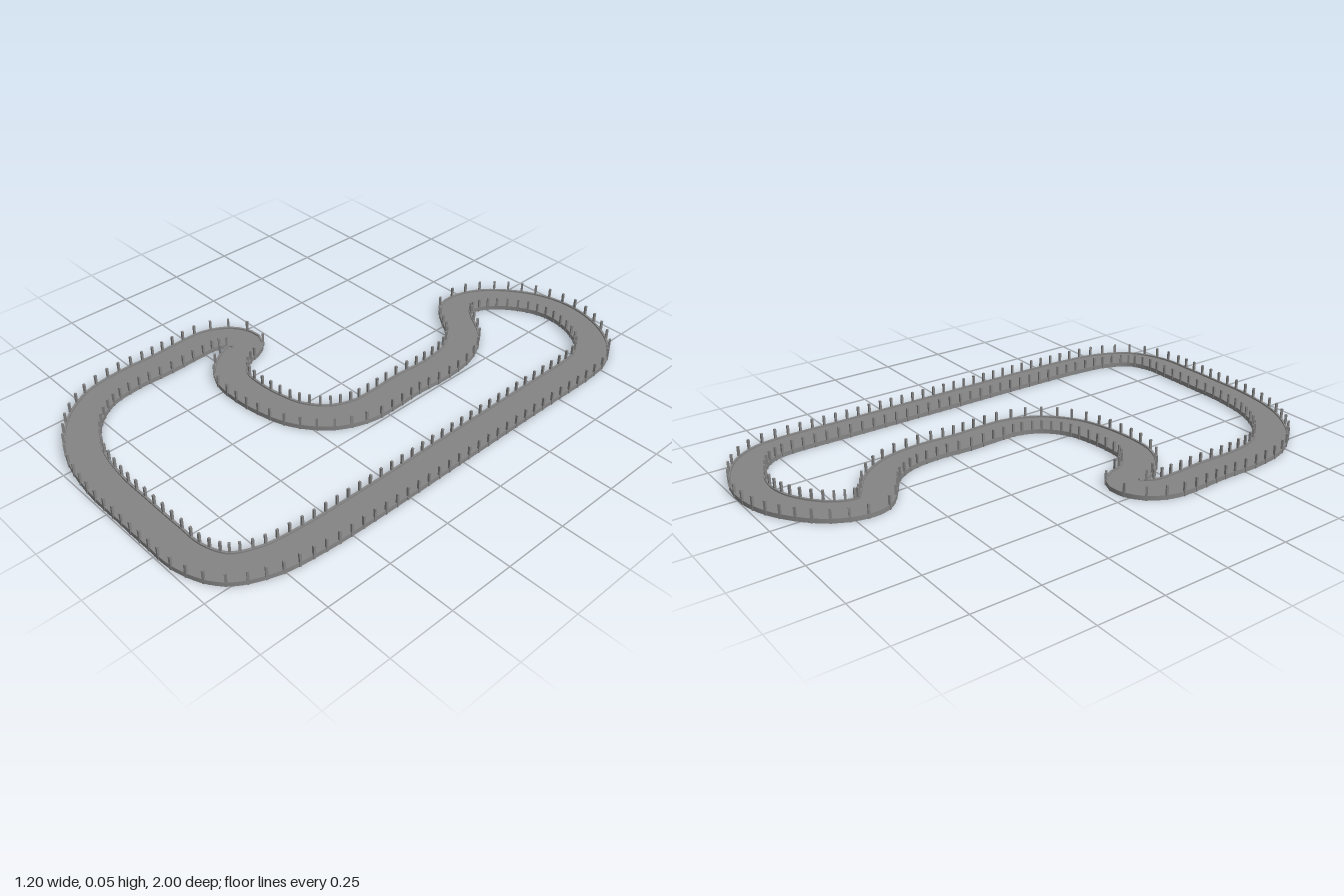
import * as THREE from 'three';
import { mergeGeometries, toCreasedNormals } from 'three/addons/utils/BufferGeometryUtils.js';

const HALF = 0.063;        // half width of the track
const KERB = 0.008;        // kerb thickness
const ROAD_TOP = 0.011, KERB_TOP = 0.017, POST_TOP = 0.053, POST_WIDTH = 0.008;
const SEGMENTS = 320, POSTS = 120;

// Centreline of the circuit as x, z pairs
const CENTRE = [
  [0.529, -0.7], [0.529, -0.4], [0.529, 0], [0.529, 0.4], [0.523, 0.6], [0.501, 0.76], [0.44, 0.875], [0.33, 0.926],
  [0.2, 0.931], [0.05, 0.931], [-0.12, 0.927], [-0.29, 0.892], [-0.43, 0.805], [-0.508, 0.69], [-0.53, 0.56],
  [-0.528, 0.4], [-0.533, 0.28], [-0.53, 0.19], [-0.492, 0.12], [-0.43, 0.094], [-0.397, 0.118],
  [-0.383, 0.17], [-0.335, 0.24], [-0.27, 0.277], [-0.19, 0.284], [-0.08, 0.274], [0.03, 0.242], [0.125, 0.165],
  [0.172, 0.06], [0.177, -0.04], [0.172, -0.16], [0.179, -0.31], [0.16, -0.44], [0.1, -0.54], [0.0, -0.612],
  [-0.045, -0.655], [-0.045, -0.72], [-0.01, -0.795], [0.065, -0.868], [0.16, -0.92], [0.26, -0.936],
  [0.37, -0.913], [0.47, -0.85], [0.518, -0.77],
];

const curve = new THREE.CatmullRomCurve3(CENTRE.map(([x, z]) => new THREE.Vector3(x, 0, z)), true);
curve.arcLengthDivisions = 1500;
const lap = curve.getSpacedPoints(SEGMENTS);

// Point at offset u sideways and height y, at fraction t of the lap
function trackPoint(t, u, y) {
  const p = curve.getPointAt(t), d = curve.getTangentAt(t);
  return new THREE.Vector3(p.x + d.z * u, y, p.z - d.x * u);
}

// Sweeps a closed counter-clockwise profile of [u, y] corners around the lap
function sweep(profile) {
  const positions = [], index = [], n = profile.length;
  for (let i = 0; i < SEGMENTS; i++)
    for (const [u, y] of profile) positions.push(...trackPoint(i / SEGMENTS, u, y).toArray());
  for (let i = 0; i < SEGMENTS; i++) {
    const next = (i + 1) % SEGMENTS;
    for (let j = 0; j < n; j++) {
      const k = (j + 1) % n;
      const a = i * n + j, b = i * n + k, c = next * n + k, d = next * n + j;
      index.push(a, b, c, a, c, d);
    }
  }
  const geometry = new THREE.BufferGeometry();
  geometry.setAttribute('position', new THREE.Float32BufferAttribute(positions, 3));
  geometry.setIndex(index);
  return toCreasedNormals(geometry, Math.PI / 5);
}

const strip = (u0, u1, top) => sweep([[u0, 0], [u1, 0], [u1, top], [u0, top]]);

// Evenly spaced upright posts along one edge, leaving out any that would stand on the road
function fence(u) {
  const posts = [];
  for (let i = 0; i < POSTS; i++) {
    const t = i / POSTS, foot = trackPoint(t, u, 0), d = curve.getTangentAt(t);
    if (lap.some((p) => p.distanceTo(foot) < HALF - KERB)) continue;
    const post = new THREE.BoxGeometry(POST_WIDTH, POST_TOP, POST_WIDTH);
    post.rotateY(Math.atan2(d.x, d.z));
    post.translate(foot.x, POST_TOP / 2, foot.z);
    posts.push(post);
  }
  return mergeGeometries(posts);
}

export function createModel() {
  const group = new THREE.Group();
  group.name = 'raceTrack';
  const material = new THREE.MeshStandardMaterial({ color: 0x848484, side: THREE.DoubleSide });
  const add = (name, geometry) => {
    const mesh = new THREE.Mesh(geometry, material);
    mesh.name = name;
    group.add(mesh);
  };

  // Road surface between the kerbs
  add('road', strip(-HALF + KERB, HALF - KERB, ROAD_TOP));

  // Kerb and fence posts on both edges
  for (const side of [-1, 1]) {
    const label = side > 0 ? 'outer' : 'inner';
    const edges = [side * HALF, side * (HALF - KERB)].sort((a, b) => a - b);
    add(label + 'Kerb', strip(edges[0], edges[1], KERB_TOP));
    add(label + 'Posts', fence(side * (HALF - 0.002)));
  }
  return group;
}
